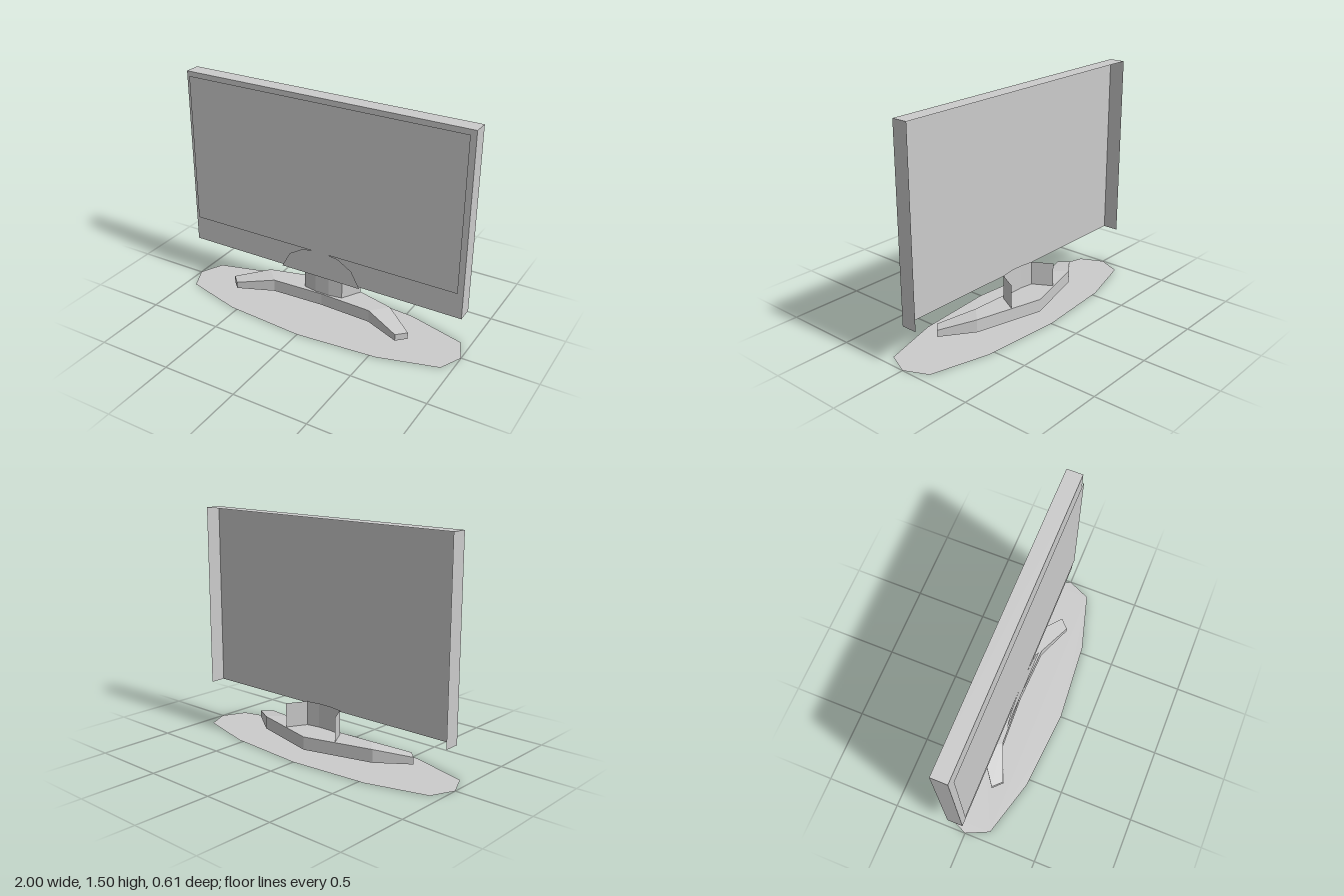
import * as THREE from 'three';

const material = new THREE.MeshStandardMaterial({ color: 0xcccccc, flatShading: true, side: THREE.DoubleSide });

function addMesh(group, name, geometry) {
  const mesh = new THREE.Mesh(geometry, material);
  mesh.name = name;
  group.add(mesh);
  return mesh;
}

// Skin a row of equal-length cross-sections with flat quads, optionally closing both ends
function loft(sections, capped = false) {
  const positions = [];
  const quad = (a, b, c, d) => positions.push(...a, ...b, ...c, ...a, ...c, ...d);
  for (let i = 0; i < sections.length - 1; i++) {
    const s = sections[i], t = sections[i + 1];
    for (let j = 0; j < s.length - 1; j++) quad(s[j], s[j + 1], t[j + 1], t[j]);
  }
  if (capped) {
    quad(...[...sections[0]].reverse());
    quad(...sections[sections.length - 1]);
  }
  const geometry = new THREE.BufferGeometry();
  geometry.setAttribute('position', new THREE.Float32BufferAttribute(positions, 3));
  geometry.computeVertexNormals();
  return geometry;
}

// Complete a half list (from +x towards the middle) with its mirror image
function mirrored(half, flip) {
  const other = half.filter((p) => p[0] !== 0).reverse().map(flip);
  return [...half, ...other];
}
const flipX = ([x, ...rest]) => [-x, ...rest];

function flatPanel(points) {
  return new THREE.ShapeGeometry(new THREE.Shape(points.map(([x, y]) => new THREE.Vector2(x, y))));
}

export function createModel() {
  const model = new THREE.Group();
  model.name = 'television';

  // Casing: a front sheet with sides and top, open at the back and bottom
  const casing = new THREE.Group();
  casing.name = 'casing';
  model.add(casing);
  const corners = [[0.98, 0.28], [0.98, 1.5], [-1, 1.5], [-1, 0.28]];
  addMesh(casing, 'casingFront', flatPanel(corners));
  addMesh(casing, 'casingSides', loft(corners.map(([x, y]) => [[x, y, 0], [x, y, -0.105]])));

  // Screen pane and the arched trim below it, just ahead of the casing
  const screen = flatPanel([[-0.97, 0.46], [0.95, 0.46], [0.95, 1.475], [-0.97, 1.475]]);
  addMesh(model, 'screen', screen).position.z = 0.018;
  const arch = mirrored([[0.29, 0.28], [0.23, 0.39], [0.13, 0.45], [0.06, 0.46]], flipX);
  addMesh(model, 'archTrim', flatPanel(arch)).position.z = 0.018;

  // Neck: upright wall, slightly bowed in front and flaring to the back
  const neckPath = mirrored([[0.21, -0.15], [0.14, -0.025], [0.05, -0.01]], flipX);
  addMesh(model, 'neck', loft(neckPath.map(([x, z]) => [[x, 0.14, z], [x, 0.3, z]])));

  // Foot: swept bar with sloping tips; front x, front z, back x, back z, top y
  const footHalf = [
    [0.6, 0.115, 0.66, 0.055, 0.1],
    [0.36, 0.015, 0.46, -0.09, 0.14],
    [0, 0, 0, -0.21, 0.14],
  ];
  const footPath = mirrored(footHalf, ([fx, fz, bx, bz, top]) => [-fx, fz, -bx, bz, top]);
  const footSections = footPath.map(([fx, fz, bx, bz, top]) => [
    [fx, 0.055, fz], [fx, top, fz], [bx, top, bz], [bx, 0.055, bz],
  ]);
  addMesh(model, 'foot', loft(footSections, true));

  // Base plate: thin twelve-sided oval lying on the ground
  const rim = mirrored([[0, -0.305], [0.54, -0.262], [0.93, -0.153], [1, 0], [0.93, 0.153], [0.54, 0.262], [0, 0.305]], flipX);
  addMesh(model, 'basePlate', flatPanel(rim).rotateX(-Math.PI / 2));

  return model;
}
